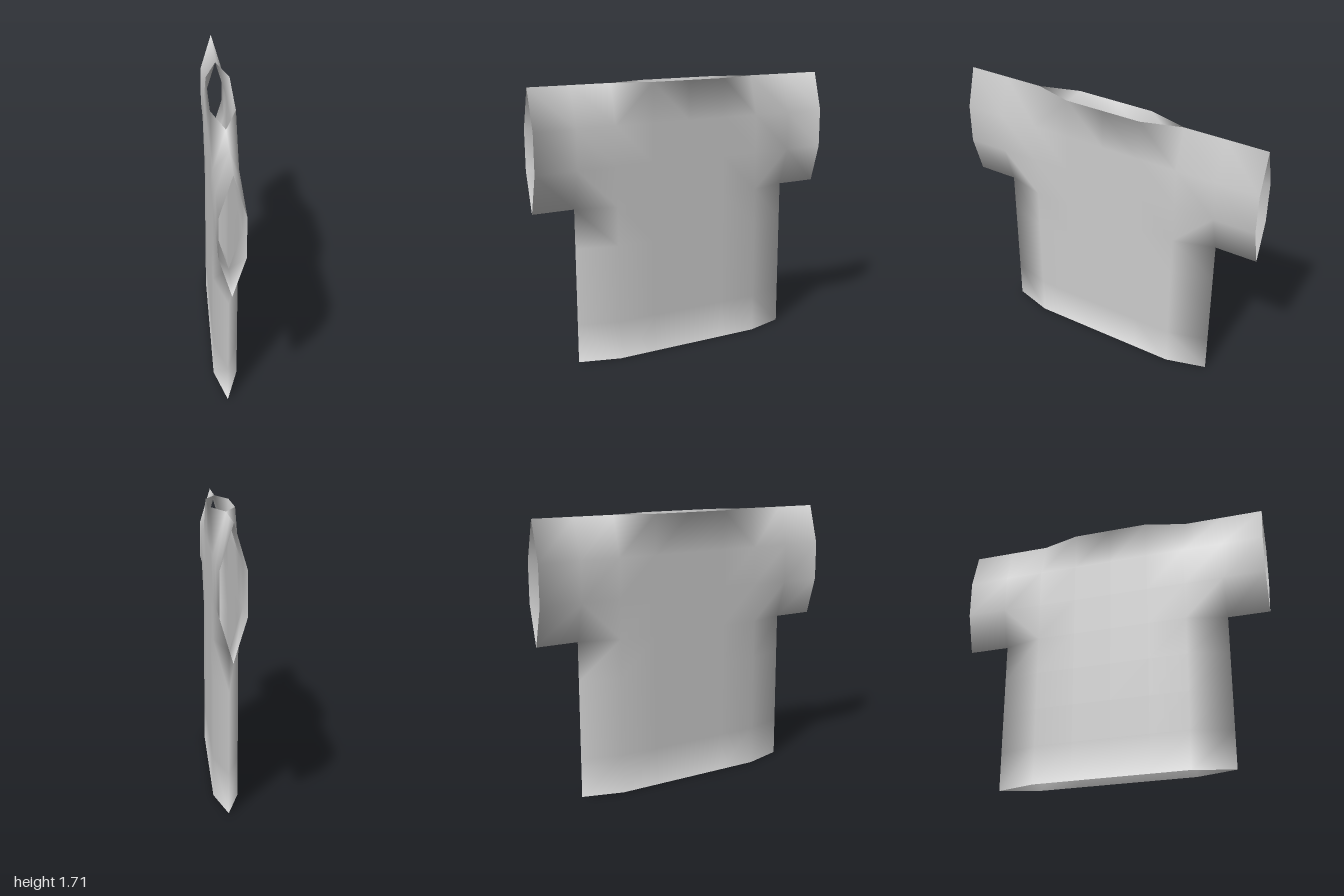
import * as THREE from 'three';

// Grid of the shirt panels: columns run along z, rows along y
const COLS = [-1, -0.74, -0.49, -0.245, 0, 0.245, 0.49, 0.74, 1];
const ROW = 1.705 / 7;
const ARMPIT = 4, TOP = 7;
const HALF = 0.073;

// Seam points lie on the middle plane, where the two panels join
function isSeam(i, j) {
  const c = Math.abs(i - 4);
  return (c === 3 && j <= ARMPIT) || (c === 4 && j === ARMPIT) || (j === TOP && c >= 2);
}

function shirtGeometry() {
  const positions = [], ids = new Map(), faces = [], rims = [];

  // Shared vertex lookup; seam points are common to both panels
  const vertex = (side, i, j) => {
    const s = isSeam(i, j) ? 0 : side;
    const key = `${s},${i},${j}`;
    if (!ids.has(key)) {
      ids.set(key, positions.length / 3);
      positions.push(s * HALF, j * ROW, COLS[i]);
    }
    return ids.get(key);
  };
  const tri = (list, side, a, b, c) => list.push(a, ...(side > 0 ? [b, c] : [c, b]));

  // Two mirrored panels: body columns below the armpit, all columns above it
  for (const side of [1, -1]) {
    for (let j = 0; j < TOP; j++) {
      const inset = j < ARMPIT ? 1 : 0;
      for (let i = inset; i < 8 - inset; i++) {
        const a = vertex(side, i, j), b = vertex(side, i, j + 1);
        const c = vertex(side, i + 1, j + 1), d = vertex(side, i + 1, j);
        // The diagonal stays clear of a lone seam corner
        const ac = isSeam(i, j) + isSeam(i + 1, j + 1);
        const bd = isSeam(i, j + 1) + isSeam(i + 1, j);
        if (ac > bd) {
          tri(faces, side, a, b, d);
          tri(faces, side, b, c, d);
        } else {
          tri(faces, side, a, b, c);
          tri(faces, side, a, c, d);
        }
      }
    }
  }

  // Temporary caps over the openings, which only round the normals at the rims
  const cap = (i0, j0, i1, j1) => {
    const a = vertex(1, i0, j0), b = vertex(1, i1, j1);
    const c = vertex(-1, i1, j1), d = vertex(-1, i0, j0);
    tri(rims, 1, a, b, c);
    tri(rims, 1, a, c, d);
  };
  for (let i = 1; i < 7; i++) cap(i + 1, 0, i, 0);           // hem
  for (let i = 2; i < 6; i++) cap(i, TOP, i + 1, TOP);       // neck
  for (let j = ARMPIT; j < TOP; j++) {                       // cuffs
    cap(8, j + 1, 8, j);
    cap(0, j, 0, j + 1);
  }

  const geometry = new THREE.BufferGeometry();
  geometry.setAttribute('position', new THREE.Float32BufferAttribute(positions, 3));
  geometry.setIndex([...faces, ...rims]);
  geometry.computeVertexNormals();
  geometry.setIndex(faces); // leave neck, cuffs and hem open
  return geometry;
}

export function createModel() {
  const group = new THREE.Group();
  group.name = 'tShirt';
  const material = new THREE.MeshStandardMaterial({ color: 0xcccccc, side: THREE.DoubleSide });
  const shirt = new THREE.Mesh(shirtGeometry(), material);
  shirt.name = 'shirtShell';
  group.add(shirt);
  return group;
}
